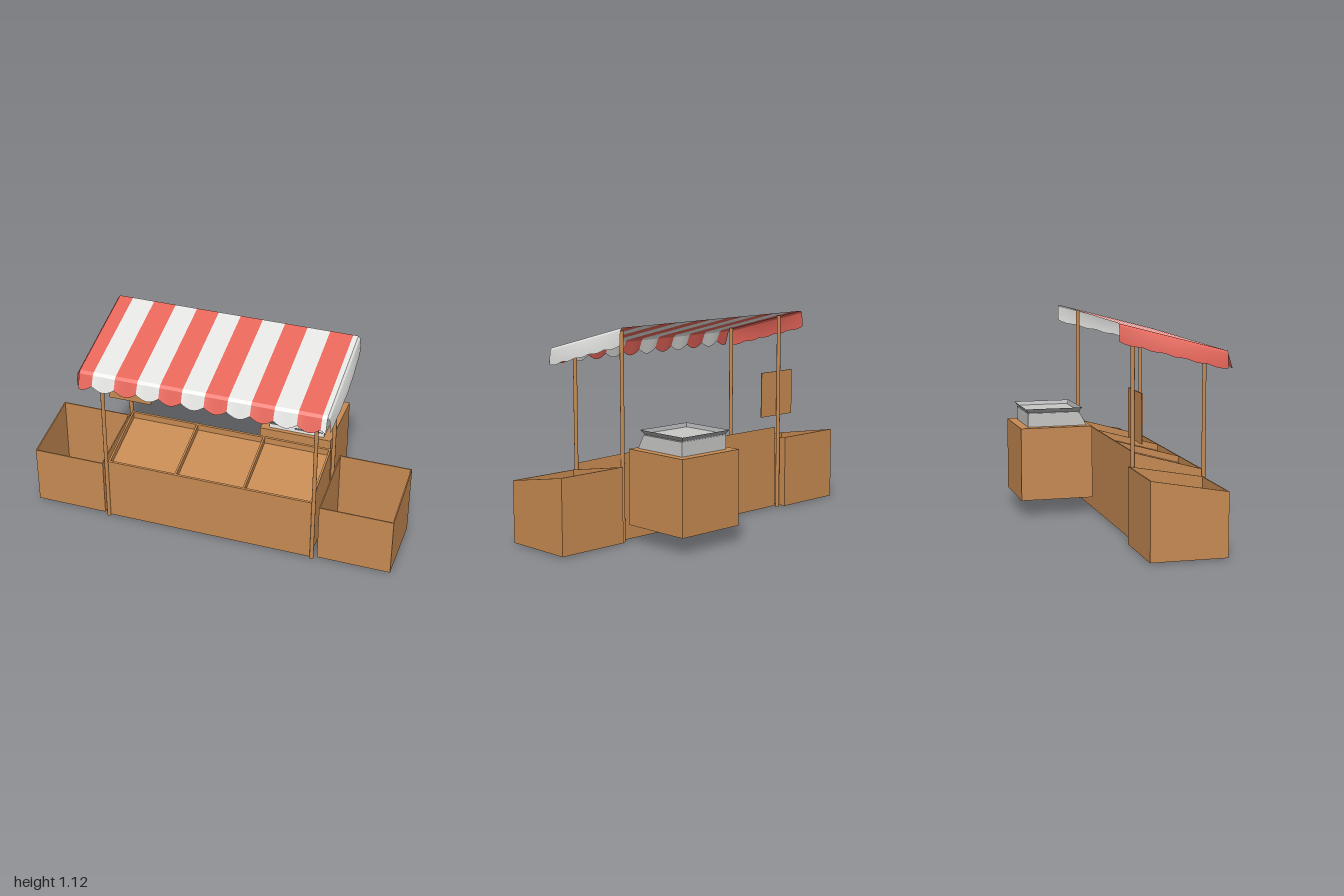
import * as THREE from 'three';
import { toCreasedNormals } from 'three/addons/utils/BufferGeometryUtils.js';

const mat = (name, color, side = THREE.FrontSide) => {
  const m = new THREE.MeshStandardMaterial({ color, side });
  m.name = name;
  return m;
};

export function createModel() {
  const wood = mat('wood', 0xc68a52);
  const red = mat('red cloth', 0xe8665a, THREE.DoubleSide);
  const white = mat('white cloth', 0xe4e4e2, THREE.DoubleSide);
  const metal = mat('light metal', 0xc6c6c4);
  const rimMetal = mat('rim metal', 0xa2a4a5, THREE.DoubleSide);
  const dark = mat('dark panel', 0x25272b);
  const orange = mat('orange key', 0xc98a3c);

  const model = new THREE.Group();
  model.name = 'marketStall';

  const add = (name, geo, material, parent = model) => {
    const m = new THREE.Mesh(geo, material);
    m.name = name;
    parent.add(m);
    return m;
  };
  const group = (name) => {
    const g = new THREE.Group();
    g.name = name;
    model.add(g);
    return g;
  };
  // Box given by its limits
  const box = (name, x0, x1, y0, y1, z0, z1, material, parent) =>
    add(name, new THREE.BoxGeometry(x1 - x0, y1 - y0, z1 - z0)
      .translate((x0 + x1) / 2, (y0 + y1) / 2, (z0 + z1) / 2), material, parent);
  // Side profile of [z, y] points extruded from x0 to x1
  const slab = (name, pts, x0, x1, material, parent) => {
    const shape = new THREE.Shape(pts.map(([z, y]) => new THREE.Vector2(z, y)));
    const geo = new THREE.ExtrudeGeometry(shape, { depth: x1 - x0, bevelEnabled: false });
    return add(name, geo.rotateY(-Math.PI / 2).translate(x1, 0, 0), material, parent);
  };
  // Cloth sheet from a function of column and row
  const sheet = (cols, rows, f) => {
    const pos = [], idx = [];
    for (let r = 0; r <= rows; r++) for (let c = 0; c <= cols; c++) {
      pos.push(...f(c, r));
      if (r < rows && c < cols) {
        const a = r * (cols + 1) + c, b = a + cols + 1;
        idx.push(a, b, a + 1, a + 1, b, b + 1);
      }
    }
    const g = new THREE.BufferGeometry();
    g.setAttribute('position', new THREE.Float32BufferAttribute(pos, 3));
    g.setIndex(idx);
    return toCreasedNormals(g, 0.35);
  };

  // Display counter with three sloping trays
  const counter = group('counter');
  const zf = 0.335, zb = -0.027, W = 0.567, depth = 0.035;
  const rimY = (z) => 0.36 + (zf - z) * 0.1 / (zf - zb);
  slab('counterBody', [[zf, 0.006], [zf, 0.36 - depth], [zb, 0.46 - depth], [zb, 0.006]],
    -W, W, wood, counter);
  const board = [[zf, 0.36 - depth], [zf, 0.36], [zb, 0.46], [zb, 0.46 - depth]];
  for (const x of [-W, -0.19, 0.19, W - 0.01])
    slab('trayDivider', board, x, x + 0.01, wood, counter);
  for (const [name, z0, z1] of [['frontLip', zf - 0.01, zf], ['backLip', zb, zb + 0.01]])
    slab(name, [[z1, rimY(z1) - depth], [z1, rimY(z1)], [z0, rimY(z0)], [z0, rimY(z0) - depth]],
      -W, W, wood, counter);

  // Open crates at both ends
  for (const s of [-1, 1]) {
    const crate = group(s > 0 ? 'leftCrate' : 'rightCrate');
    const x0 = s > 0 ? 0.605 : -1, x1 = x0 + 0.395, t = 0.006;
    const side = [[0.325, 0.005], [0.325, 0.33], [-0.068, 0.40], [-0.068, 0.005]];
    slab('crateSide', side, x0, x0 + t, wood, crate);
    slab('crateSide', side, x1 - t, x1, wood, crate);
    box('crateFront', x0 + t, x1 - t, 0.005, 0.33, 0.325 - t, 0.325, wood, crate);
    box('crateBack', x0 + t, x1 - t, 0.005, 0.40, -0.068, -0.068 + t, wood, crate);
    box('crateFloor', x0 + t, x1 - t, 0.005, 0.012, -0.062, 0.319, wood, crate);
  }

  // Awning posts
  for (const x of [-0.578, 0.578])
    for (const [name, z, h] of [['frontPost', 0.335, 0.99], ['backPost', -0.037, 1.088]])
      add(name, new THREE.CylinderGeometry(0.0105, 0.0105, h, 10).translate(x, h / 2, z), wood);

  // Hanging sign board
  box('signBoard', -0.70, -0.455, 0.525, 0.775, -0.026, -0.02, wood);

  // Striped awning: sloping roof and scalloped front valance
  const awning = group('awning');
  const edge = 0.655, step = 0.1208;
  const profile = [[-0.13, 1.115], [0.418, 0.971], [0.432, 0.958], [0.454, 0.905]];
  const stops = [-edge];
  for (let i = 0; i < 11; i++) stops.push(-0.58 + i * step);
  stops.push(edge);
  for (let i = 0; i < stops.length - 1; i++) {
    const a = stops[i], b = stops[i + 1], n = 8;
    add('awningStripe', sheet(n, 3, (c, r) => {
      const x = a + (b - a) * c / n;
      const drop = r === 3 ? 0.027 * Math.abs(Math.sin(Math.PI * (x + 0.58) / step)) : 0;
      return [x, profile[r][1] - drop, profile[r][0] + drop * 0.1];
    }), i % 2 ? white : red, awning);
  }
  // Billowing end valances
  for (const s of [-1, 1]) {
    const n = 24;
    add('endValance', sheet(n, 3, (c, r) => {
      const u = c / n, z = -0.13 + 0.56 * u;
      const top = 1.115 - 0.147 * u;
      const bulge = 0.012 * Math.sin(Math.PI * u);
      const x = edge + [0, 0.01, 0.015 + bulge * 0.7, 0.015 + bulge][r];
      const wave = 0.008 * Math.abs(Math.sin(Math.PI * u * 5));
      const y = top - [0, 0.012, 0.05, 0.088 + wave][r];
      return [s * x, y, z];
    }), s > 0 ? white : red, awning);
  }

  // Stand behind the counter
  box('scaleStand', 0.16, 0.554, 0.09, 0.486, -0.453, -0.058, wood);

  // Weighing scale
  const scale = group('weighingScale');
  slab('scaleBody', [[-0.08, 0.486], [-0.12, 0.56], [-0.405, 0.56], [-0.405, 0.486]],
    0.205, 0.51, metal, scale);
  const pan = new THREE.CylinderGeometry(Math.SQRT1_2, Math.SQRT1_2 * 0.9, 1, 4, 1, true)
    .toNonIndexed().rotateY(Math.PI / 4);
  pan.computeVertexNormals();
  pan.scale(0.325, 0.023, 0.312).translate(0.357, 0.574, -0.262);
  add('panRim', pan, rimMetal, scale);
  box('panPlate', 0.211, 0.503, 0.56, 0.566, -0.402, -0.122, metal, scale);

  // Control panel on the sloping face
  const plate = (name, x, t, w, h, material) => {
    const m = add(name, new THREE.BoxGeometry(w, h, 0.004), material, scale);
    m.position.set(x, 0.486 + 0.074 * t, -0.08 - 0.04 * t);
    m.rotation.x = -Math.atan2(0.04, 0.074);
  };
  plate('display', 0.232, 0.4, 0.045, 0.03, dark);
  plate('displayStrip', 0.265, 0.3, 0.02, 0.012, dark);
  plate('labelSlot', 0.39, 0.2, 0.09, 0.009, dark);
  for (let r = 0; r < 3; r++) {
    plate('key', 0.482, 0.25 + r * 0.22, 0.01, 0.009, r === 2 ? orange : dark);
    plate('key', 0.498, 0.25 + r * 0.22, 0.01, 0.009, r === 1 ? orange : dark);
  }
  return model;
}
